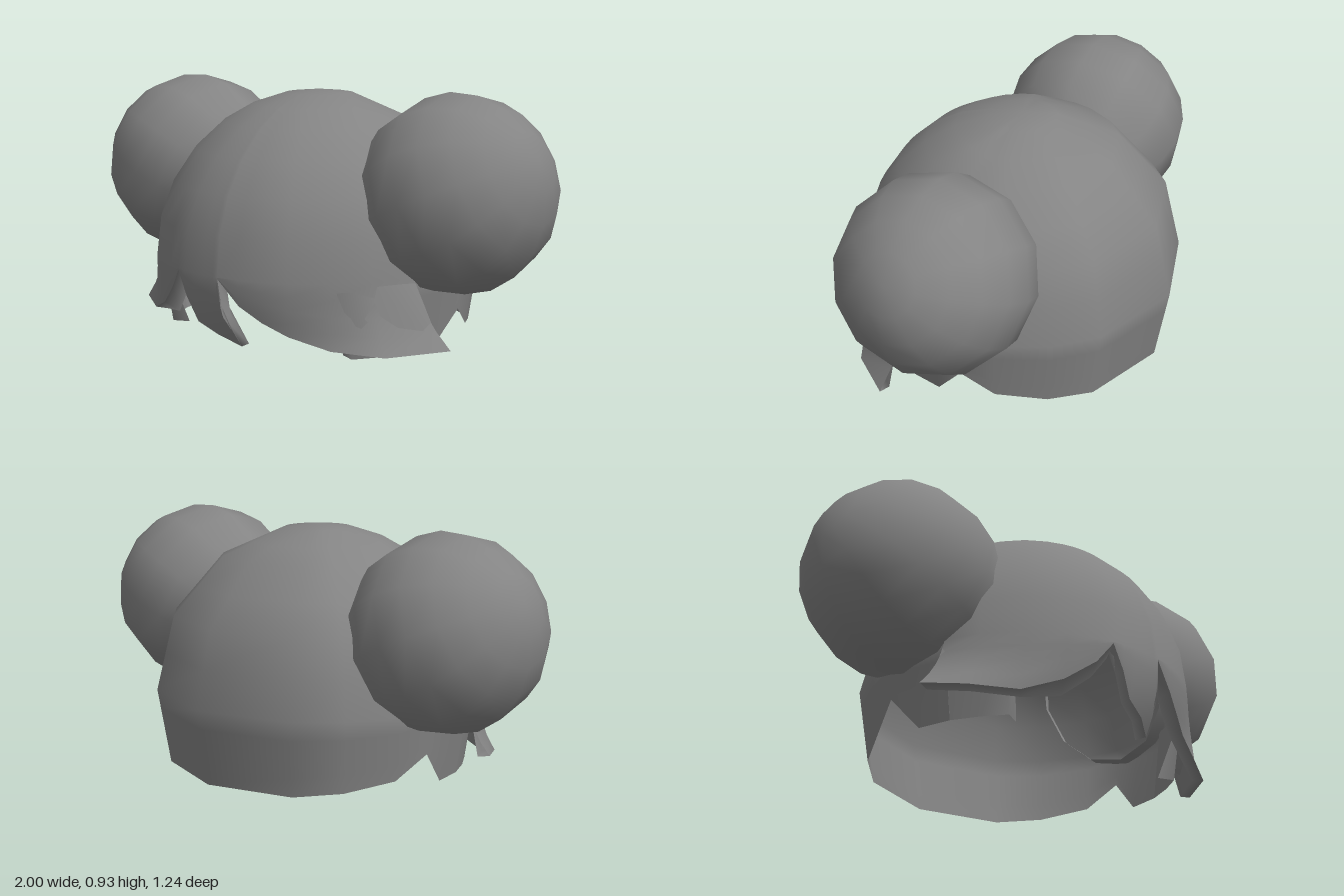
import * as THREE from 'three';
import { mergeGeometries, mergeVertices } from 'three/addons/utils/BufferGeometryUtils.js';

const CY = 0.285; // height of the head's centre
const R = 0.622; // radius of the head
const RAD = Math.PI / 180;
const mat = new THREE.MeshStandardMaterial({ color: 0x848484, side: THREE.DoubleSide });

// Latitudes of the dome; the back keeps only every second one as a true corner
const LATS = [90, 78, 66, 54, 40.5, 27, 13.5, 0];
const COARSE = [1, 1, 0.978, 1, 0.972, 1, 0.972, 1];

// Fringe columns: [azimuth at the top, azimuth at the tip, tip height, flare]
const RIGHT_FRINGE = [[-72, -75, 0.09, 0.13], [-60, -62, 0.07, 0.11], [-45, -47, 0.065, 0.05],
  [-32, -33, 0.12, 0.01], [-22, -22, 0.2, 0], [-16, -16, 0.28, 0]];
const CENTRE_LOCK = [[-16, -16, 0.28, 0], [-12, -12, 0.19, 0], [-7, -8, 0.1, 0],
  [-2, 0, 0.06, -0.01], [2, 8, 0.02, -0.03], [3, 5, 0.14, 0], [4, 4, 0.28, 0]];
const LEFT_FRINGE = [[4, 4, 0.28, 0], [12, 12, 0.19, 0], [20, 20, 0.135, 0], [29, 29, 0.09, 0.01],
  [43, 43, 0.05, 0.06], [57, 58, 0.037, 0.14], [72, 75.5, 0.05, 0.2]];

// Back columns: [azimuth, height of the lower edge], left side to the middle
const BACK = [[72, 0], [85, 0], [96, 0.13], [108, 0.045], [127, 0.015], [145, 0], [180, 0]];

// Grid of points, columns[i][j], rows running downward
function grid(columns) {
  const rows = columns[0].length;
  const index = [];
  for (let i = 0; i < columns.length - 1; i++) {
    for (let j = 0; j < rows - 1; j++) {
      const a = i * rows + j, b = a + rows;
      index.push(a, a + 1, b, b, a + 1, b + 1);
    }
  }
  const g = new THREE.BufferGeometry();
  g.setAttribute('position', new THREE.Float32BufferAttribute(columns.flat(2), 3));
  g.setIndex(index);
  return g;
}

function addMesh(group, name, geometry) {
  geometry.computeVertexNormals();
  const mesh = new THREE.Mesh(geometry, mat);
  mesh.name = name;
  group.add(mesh);
}

// Point on the head: azimuth in degrees from the front toward +x
function onHead(azimuth, y, extra = 0, k = 1) {
  const t = (y - CY) / R;
  const r = R * Math.sqrt(Math.max(0, 1 - k * t * t)) + extra;
  return [r * Math.sin(azimuth * RAD), y, r * Math.cos(azimuth * RAD)];
}

function domePoint(azimuth, lat, scale) {
  const r = R * scale * Math.cos(lat * RAD);
  return [r * Math.sin(azimuth * RAD), CY + R * scale * Math.sin(lat * RAD), r * Math.cos(azimuth * RAD)];
}

// Front strip: dome above, swept and flared tips below
function fringe(spec) {
  return grid(spec.map(([a0, a1, edge, flare]) => {
    const col = LATS.map(l => domePoint(a0, l, 1));
    for (let s = 1; s <= 4; s++) {
      const t = s / 4;
      col.push(onHead(a0 + (a1 - a0) * t, CY + (edge - CY) * t, flare * t * t));
    }
    return col;
  }));
}

// Thickness of a strip: turned in under the edge, then back up inside
function underside(spec, drop) {
  return grid(spec.map(([a0, a1, edge, flare]) => [
    onHead(a1, edge, flare),
    onHead(a1, edge - drop * (edge > 0.1 ? 1 : 0.2), flare - 0.045),
    onHead(a0, CY, -0.005),
  ]));
}

// Coarse back of the head with a notch on each side
function back() {
  const all = [...BACK, ...BACK.slice(0, -1).reverse().map(([a, y]) => [360 - a, y])];
  return grid(all.map(([a, edge]) => {
    const joint = a === 72 || a === 288;
    const col = LATS.map((l, i) => domePoint(a, l, joint ? 1 : COARSE[i]));
    const top = new THREE.Vector3(...onHead(a, CY));
    const low = new THREE.Vector3(...onHead(a, edge, 0, 0.7));
    for (let s = 1; s <= 4; s++) col.push(top.clone().lerp(low, s / 4).toArray());
    return col;
  }));
}

// Lock hanging under the fringe, its front edge turned inward
function sideburn(side) {
  const spec = [[49, -0.07], [51, -0.005], [61, -0.005], [72, 0]];
  if (side < 0) spec.reverse();
  return grid(spec.map(([a, inset]) => [
    onHead(a * side, CY, -0.01), onHead(a * side, 0, inset, 0.7),
  ]));
}

// Round bun, its axis leaning away from the head and its hidden side left open
function bun(side) {
  const g = new THREE.SphereGeometry(0.364, 12, 7, 0, Math.PI * 2, 0, 126 * RAD);
  g.deleteAttribute('normal');
  g.deleteAttribute('uv');
  g.rotateZ(-66 * RAD * side);
  g.translate(0.638 * side, 0.568, 0);
  return mergeVertices(g);
}

export function createModel() {
  const group = new THREE.Group();
  group.name = 'hair';
  // one continuous surface: back and fringe share the dome
  const shell = mergeGeometries([back(), fringe(RIGHT_FRINGE), fringe(CENTRE_LOCK), fringe(LEFT_FRINGE)]);
  addMesh(group, 'hairShell', mergeVertices(shell));
  addMesh(group, 'rightFringeUnderside', underside(RIGHT_FRINGE, 0.04));
  addMesh(group, 'centreLockUnderside', underside(CENTRE_LOCK, 0));
  addMesh(group, 'leftFringeUnderside', underside(LEFT_FRINGE, 0.02));
  for (const [name, side] of [['left', 1], ['right', -1]]) {
    addMesh(group, name + 'Sideburn', sideburn(side));
    addMesh(group, name + 'Bun', bun(side));
  }
  return group;
}
